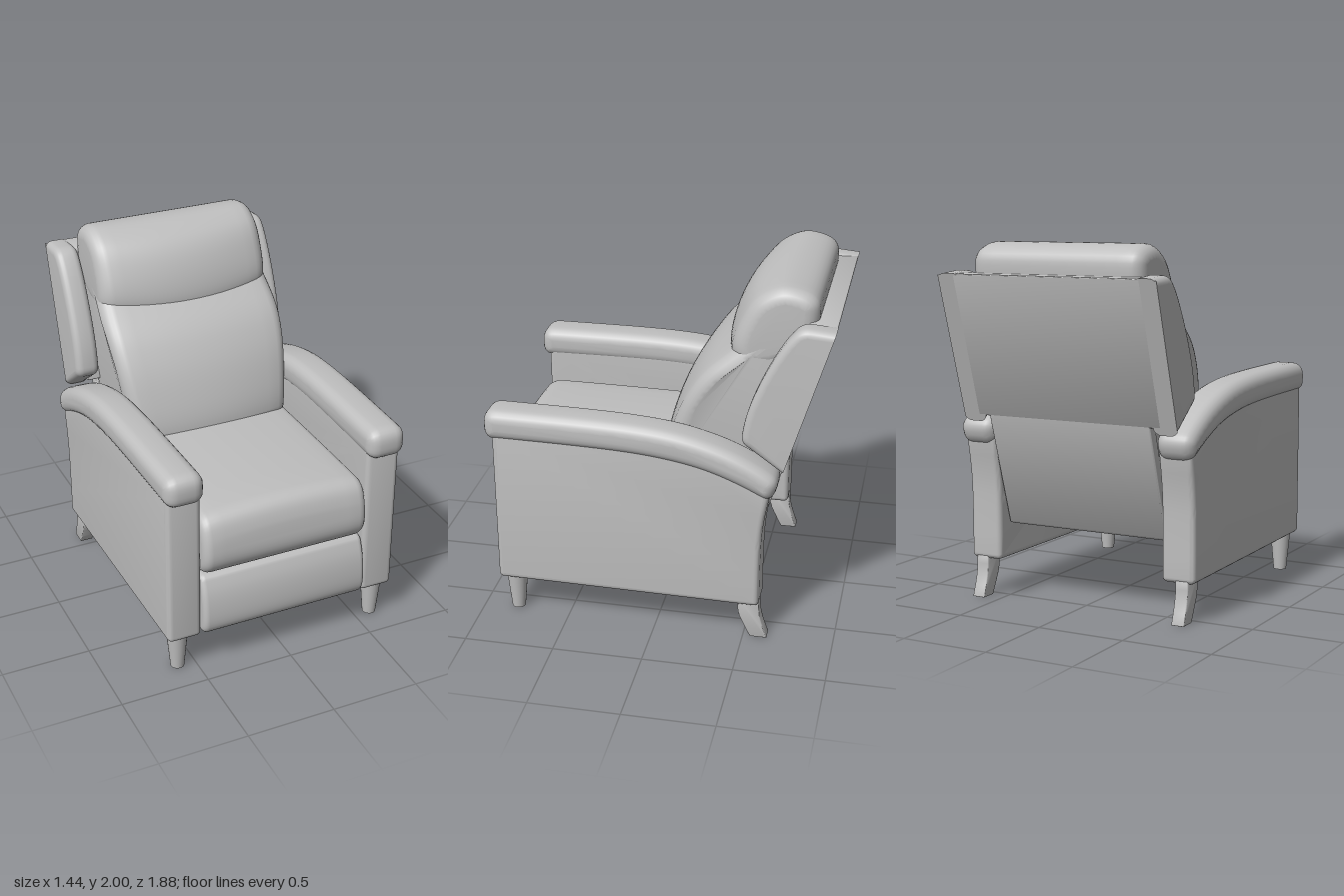
import * as THREE from 'three';
import { toCreasedNormals } from 'three/addons/utils/BufferGeometryUtils.js';

const { lerp, smoothstep } = THREE.MathUtils;
const upholstery = new THREE.MeshStandardMaterial({ color: 0xbfbfbf });
upholstery.name = 'grey upholstery';

// Closed outline from [z, y, radius] points; points without a radius blend into a smooth curve.
function outline(points) {
  const v = points.map(([z, y]) => new THREE.Vector2(z, y));
  const n = v.length;
  const cut = (i, j) => {
    const d = v[i].distanceTo(v[j]);
    return v[i].clone().lerp(v[j], Math.min(points[i][2] ?? 9, d / 2) / d);
  };
  const shape = new THREE.Shape();
  const start = cut(0, 1);
  shape.moveTo(start.x, start.y);
  for (let k = 1; k <= n; k++) {
    const i = k % n;
    const a = cut(i, (i + n - 1) % n);
    const b = cut(i, (i + 1) % n);
    if (shape.currentPoint.distanceTo(a) > 1e-4) shape.lineTo(a.x, a.y);
    shape.quadraticCurveTo(v[i].x, v[i].y, b.x, b.y);
  }
  return shape;
}

// Upholstered block: side outline swept across x with rounded side edges, then optionally warped.
function block(name, points, width, round, { x = 0, steps = 1, warp } = {}) {
  const g = new THREE.ExtrudeGeometry(outline(points), {
    depth: width - 2 * round, steps, curveSegments: 6,
    bevelThickness: round, bevelSize: round, bevelOffset: -round, bevelSegments: 5,
  });
  g.translate(0, 0, round - width / 2).rotateY(-Math.PI / 2).translate(x, 0, 0);
  if (warp) {
    const p = g.attributes.position;
    const v = new THREE.Vector3();
    for (let i = 0; i < p.count; i++) {
      warp(v.fromBufferAttribute(p, i));
      p.setXYZ(i, v.x, v.y, v.z);
    }
  }
  const mesh = new THREE.Mesh(toCreasedNormals(g, 0.7), upholstery);
  mesh.name = name;
  return mesh;
}

function bar(name, w, h, d, x, y, z) {
  const mesh = new THREE.Mesh(new THREE.BoxGeometry(w, h, d), upholstery);
  mesh.name = name;
  mesh.position.set(x, y, z);
  return mesh;
}

export function createModel() {
  const chair = new THREE.Group();
  chair.name = 'reclinerChair';

  // Arms, wings and legs, once per side
  for (const s of [1, -1]) {
    const side = s > 0 ? 'left' : 'right';
    // arms splay outwards slightly towards the back
    const splay = (amount) => (v) => { v.x += s * amount * (0.9 - v.z); };

    chair.add(block(side + 'ArmPanel', [
      [0.895, 0.22, 0.03], [0.895, 1.14, 0.03], [0.3, 1.15], [-0.1, 1.12], [-0.4, 1.03],
      [-0.635, 0.92, 0.03], [-0.595, 0.7], [-0.588, 0.5], [-0.588, 0.215, 0.03],
    ], 0.195, 0.03, { x: s * 0.586, warp: splay(0.012) }));

    chair.add(block(side + 'ArmPad', [
      [0.942, 1.08, 0.07], [0.942, 1.255, 0.08], [0.3, 1.255], [0, 1.24], [-0.2, 1.21],
      [-0.42, 1.145], [-0.6, 1.055], [-0.685, 0.99, 0.07], [-0.635, 0.865, 0.06],
      [-0.45, 0.955], [-0.25, 1.025], [0, 1.065], [0.3, 1.08],
    ], 0.22, 0.065, { x: s * 0.588, warp: splay(0.016) }));

    // wing with its rounded form cut off flat along the sloping back plane
    chair.add(block(side + 'Wing', [
      [-1.02, 1.835, 0.015], [-0.78, 1.01, 0.02], [-0.46, 1.175, 0.05], [-0.49, 1.36],
      [-0.58, 1.58], [-0.68, 1.76], [-0.76, 1.85, 0.05],
    ], 0.137, 0.04, {
      x: s * 0.587,
      warp: (v) => { v.z = Math.max(v.z, -0.94 + 0.306 * (1.835 - v.y)); },
    }));

    const leg = new THREE.Mesh(new THREE.CylinderGeometry(0.06, 0.038, 0.23, 24), upholstery);
    leg.name = side + 'FrontLeg';
    leg.position.set(s * 0.6, 0.115, 0.81);
    chair.add(leg);

    chair.add(block(side + 'BackLeg', [
      [-0.47, 0.24, 0.005], [-0.585, 0.24, 0.005], [-0.59, 0.13], [-0.635, 0, 0.005],
      [-0.54, 0, 0.005], [-0.5, 0.08], [-0.468, 0.15],
    ], 0.075, 0.005, { x: s * 0.628 }));
  }

  // Seat cushion with a softly crowned top
  chair.add(block('seatCushion', [
    [0.87, 0.595, 0.04], [0.94, 0.67], [0.935, 0.81], [0.88, 0.945, 0.08],
    [0.4, 0.945], [-0.45, 0.93, 0.05], [-0.45, 0.6, 0.05],
  ], 0.97, 0.05, {
    steps: 12,
    warp: (v) => { if (v.y > 0.8) v.y += 0.025 * (1 - (v.x / 0.485) ** 2); },
  }));

  // Folded footrest
  chair.add(block('footrest', [
    [0.9, 0.23, 0.03], [0.94, 0.29], [0.925, 0.47], [0.875, 0.585, 0.03],
    [0.79, 0.585, 0.03], [0.79, 0.23, 0.03],
  ], 0.975, 0.03));

  // Back cushion, rising behind the headrest and narrower towards the seat
  chair.add(block('backCushion', [
    [0.025, 0.9, 0.06], [0.02, 1.03], [-0.04, 1.22], [-0.105, 1.36], [-0.2, 1.5],
    [-0.345, 1.62], [-0.47, 1.72], [-0.6, 1.88], [-0.8, 1.9, 0.06], [-0.86, 1.78, 0.05],
    [-0.58, 0.85, 0.05],
  ], 1.04, 0.07, {
    steps: 12,
    warp: (v) => {
      v.z -= 0.06 * (v.z + 0.85) * (v.x / 0.5) ** 2;
      v.x *= lerp(0.92, 1.02, smoothstep(v.y, 0.9, 1.5)) - 0.04 * smoothstep(v.y, 1.5, 1.75);
    },
  }));

  // Headrest pillow, curving back at its sides, its lower edge sagging in the middle
  chair.add(block('headrest', [
    [-0.36, 1.53], [-0.315, 1.61], [-0.345, 1.75], [-0.43, 1.91], [-0.54, 1.98], [-0.66, 2.01],
    [-0.83, 1.965], [-0.84, 1.84], [-0.8, 1.62, 0.06], [-0.5, 1.51],
  ], 1.03, 0.075, {
    steps: 14,
    warp: (v) => {
      const low = 1 - smoothstep(v.y, 1.52, 1.85);
      const edge = (v.x / 0.5) ** 2;
      v.y += low * (0.06 * edge - 0.03);
      v.z -= 0.07 * smoothstep(v.z, -0.8, -0.3) * edge;
    },
  }));

  // Flat back shell: thick between the wings, thinner and narrower between the arms
  chair.add(block('upperBackPanel', [
    [-0.94, 1.835, 0.01], [-0.7, 1.05, 0.01], [-0.56, 1.09, 0.01], [-0.79, 1.835, 0.01],
  ], 1.12, 0.004));
  chair.add(block('lowerBackPanel', [
    [-0.73, 1.15, 0.005], [-0.505, 0.42, 0.01], [-0.44, 0.42, 0.01], [-0.66, 1.15, 0.005],
  ], 0.99, 0.01));

  // Sloping underside of the seat box
  chair.add(block('seatBox', [
    [-0.505, 0.42, 0.01], [0.15, 0.26, 0.01], [0.15, 0.65, 0.01], [-0.55, 0.65, 0.01],
  ], 0.97, 0.01));

  // Reclining mechanism under the seat
  chair.add(bar('mechanismPlate', 0.74, 0.16, 0.03, 0, 0.43, 0.74));
  for (const [y, z] of [[0.36, 0.68], [0.44, 0.6]]) {
    chair.add(bar('mechanismCrossbar', 0.8, 0.035, 0.035, 0, y, z));
  }
  for (const x of [-0.4, 0.4]) {
    chair.add(bar('mechanismRail', 0.025, 0.05, 0.66, x, 0.46, 0.47));
    const link = bar('mechanismLink', 0.02, 0.035, 0.4, x * 0.92, 0.47, 0.5);
    link.rotation.x = 0.5;
    chair.add(link);
  }

  return chair;
}
